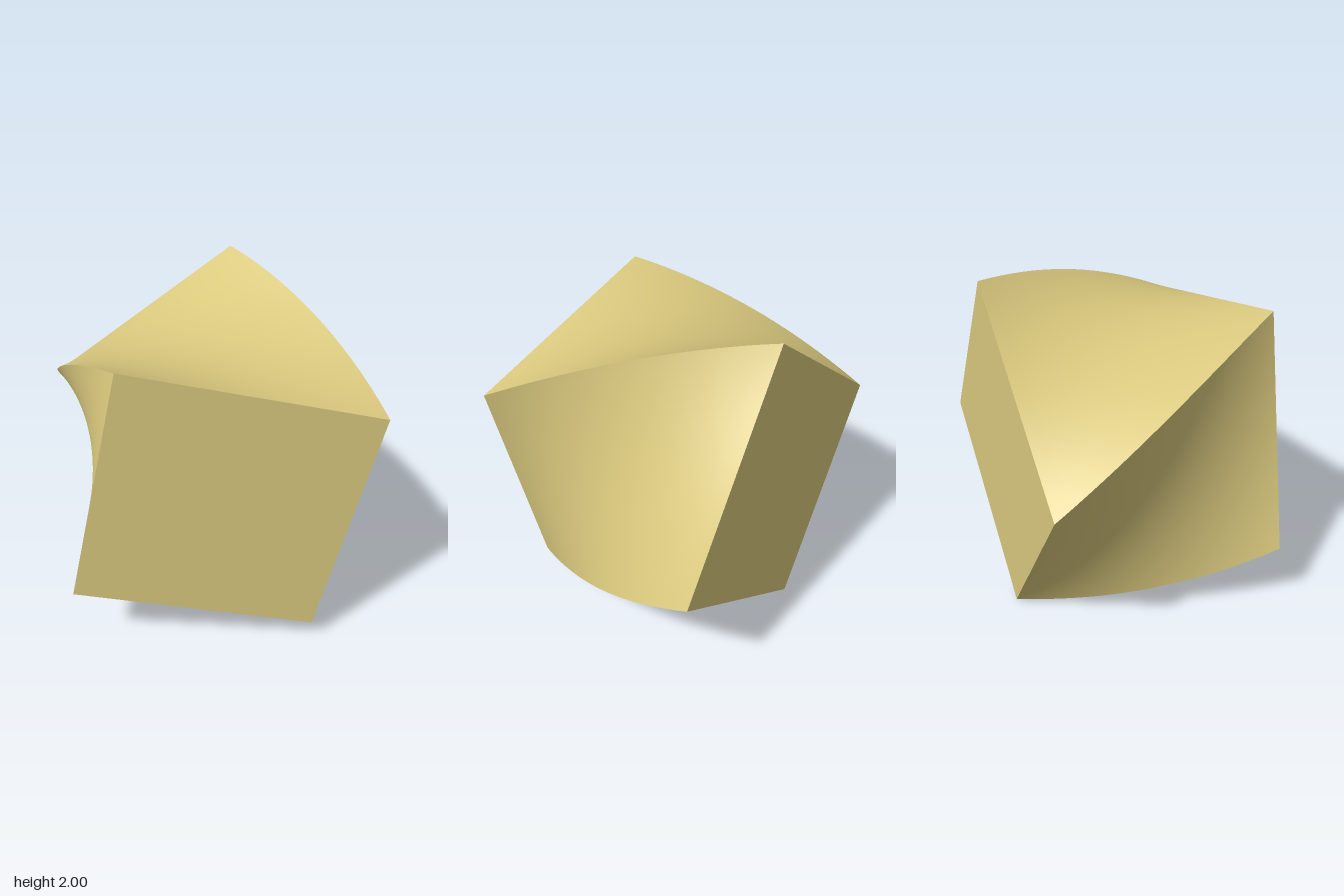
import * as THREE from 'three';

const SIDE = 1.432;   // edge of the square cross-section
const DEPTH = 1.449;  // length along z
const FRONT_ANGLE = THREE.MathUtils.degToRad(-12.9);
const BACK_ANGLE = THREE.MathUtils.degToRad(35.9);

// Rotate every vertex about z by an angle that grows linearly from front to back
function twist(geometry) {
  const pos = geometry.attributes.position;
  const axis = new THREE.Vector3(0, 0, 1);
  const v = new THREE.Vector3();
  for (let i = 0; i < pos.count; i++) {
    v.fromBufferAttribute(pos, i);
    const t = 0.5 - v.z / DEPTH;
    v.applyAxisAngle(axis, THREE.MathUtils.lerp(FRONT_ANGLE, BACK_ANGLE, t));
    pos.setXYZ(i, v.x, v.y, v.z);
  }
  // Box sides do not share vertices, so edges stay sharp and sides stay smooth
  geometry.computeVertexNormals();
  return geometry;
}

export function createModel() {
  const group = new THREE.Group();
  group.name = 'twistedCube';

  // Cube twisted about its front-to-back axis
  const body = new THREE.Mesh(
    twist(new THREE.BoxGeometry(SIDE, SIDE, DEPTH, 24, 24, 24)),
    new THREE.MeshStandardMaterial({ color: 0xdac97e })
  );
  body.name = 'twistedBody';
  body.position.y = 1;
  group.add(body);

  return group;
}
